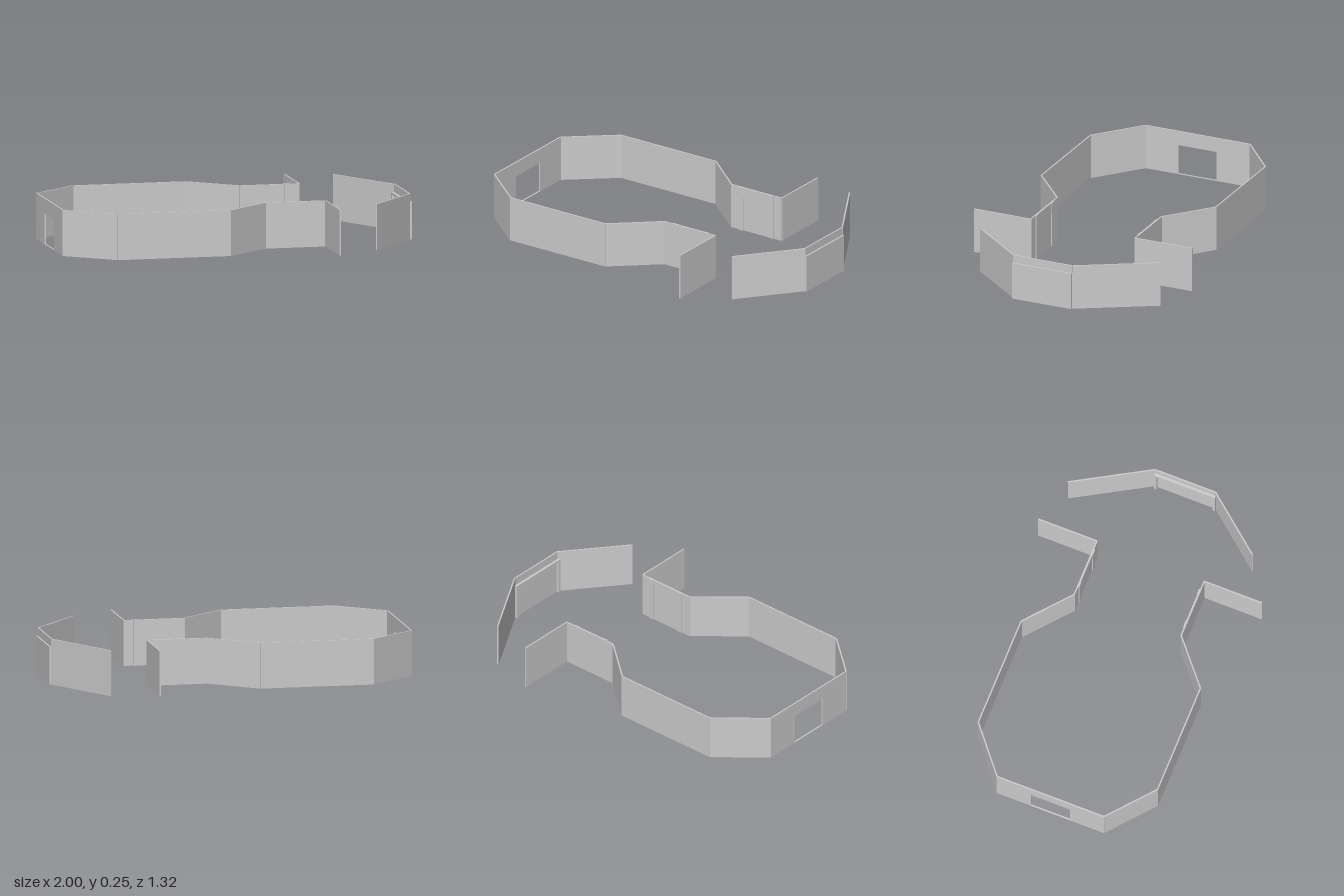
import * as THREE from 'three';

const H = 0.254; // wall height
const T = 0.008; // wall thickness
const grey = new THREE.MeshStandardMaterial({ color: 0xcccccc, flatShading: true });

export function createModel() {
  const model = new THREE.Group();

  // Box given by its minimum and maximum corners
  function block(name, x0, x1, y0, y1, z0, z1) {
    const mesh = new THREE.Mesh(new THREE.BoxGeometry(x1 - x0, y1 - y0, z1 - z0), grey);
    mesh.position.set((x0 + x1) / 2, (y0 + y1) / 2, (z0 + z1) / 2);
    mesh.name = name;
    model.add(mesh);
  }

  // Upright wall panel between two plan points [x, z]
  function wall(name, [ax, az], [bx, bz]) {
    const length = Math.hypot(bx - ax, bz - az);
    const mesh = new THREE.Mesh(new THREE.BoxGeometry(length, H, T), grey);
    mesh.position.set((ax + bx) / 2, H / 2, (az + bz) / 2);
    mesh.rotation.y = -Math.atan2(bz - az, bx - ax);
    mesh.name = name;
    model.add(mesh);
  }

  // Two mirrored runs of wall around the large room
  for (const [side, neck, end] of [[-1, 0.145, 0.662], [1, 0.14, 0.657]]) {
    const plan = [
      [-0.996, 0.315], [-0.74, 0.528], [-0.107, 0.528],
      [neck, 0.316], [0.48, 0.316], [0.48, end],
    ].map(([x, z]) => [x, z * side]);
    const names = ['rearCornerWall', 'sideWall', 'neckCornerWall', 'passageWall', 'flankWall'];
    names.forEach((name, i) => wall(name, plan[i], plan[i + 1]));

    // Shallow door frame on the inside of the passage wall
    const za = side * 0.306, zb = side * 0.314;
    const z0 = Math.min(za, zb), z1 = Math.max(za, zb);
    block('doorPost', 0.195, 0.228, 0, H, z0, z1);
    block('doorPost', 0.398, 0.428, 0, H, z0, z1);
    block('doorLintel', 0.228, 0.398, 0.19, H, side < 0 ? z0 : z0 + 0.003, side < 0 ? z1 - 0.003 : z1);
  }

  // End wall with a doorway cut through it
  const shape = new THREE.Shape();
  shape.moveTo(-0.315, 0).lineTo(0.315, 0).lineTo(0.315, H).lineTo(-0.315, H).closePath();
  const hole = new THREE.Path();
  hole.moveTo(-0.115, 0.003).lineTo(-0.115, 0.172).lineTo(0.115, 0.172).lineTo(0.115, 0.003).closePath();
  shape.holes.push(hole);
  const endWall = new THREE.Mesh(
    new THREE.ExtrudeGeometry(shape, { depth: T, bevelEnabled: false }), grey);
  endWall.rotation.y = Math.PI / 2;
  endWall.position.x = -1;
  endWall.name = 'doorwayWall';
  model.add(endWall);

  // Separate screen: centre wall with two angled wings
  wall('screenWall', [0.984, -0.172], [0.984, 0.182]);
  wall('screenWing', [0.984, -0.174], [0.74, -0.592]);
  wall('screenWing', [0.984, 0.182], [0.72, 0.505]);

  // Door slab behind the screen and its frame on the inside
  block('screenDoor', 0.986, 0.997, 0, 0.21, -0.172, 0.186);
  block('screenPost', 0.965, 0.984, 0, 0.21, -0.174, -0.16);
  block('screenPost', 0.965, 0.984, 0, 0.21, 0.172, 0.186);
  block('screenLintel', 0.965, 0.984, 0.196, 0.21, -0.16, 0.172);

  return model;
}
